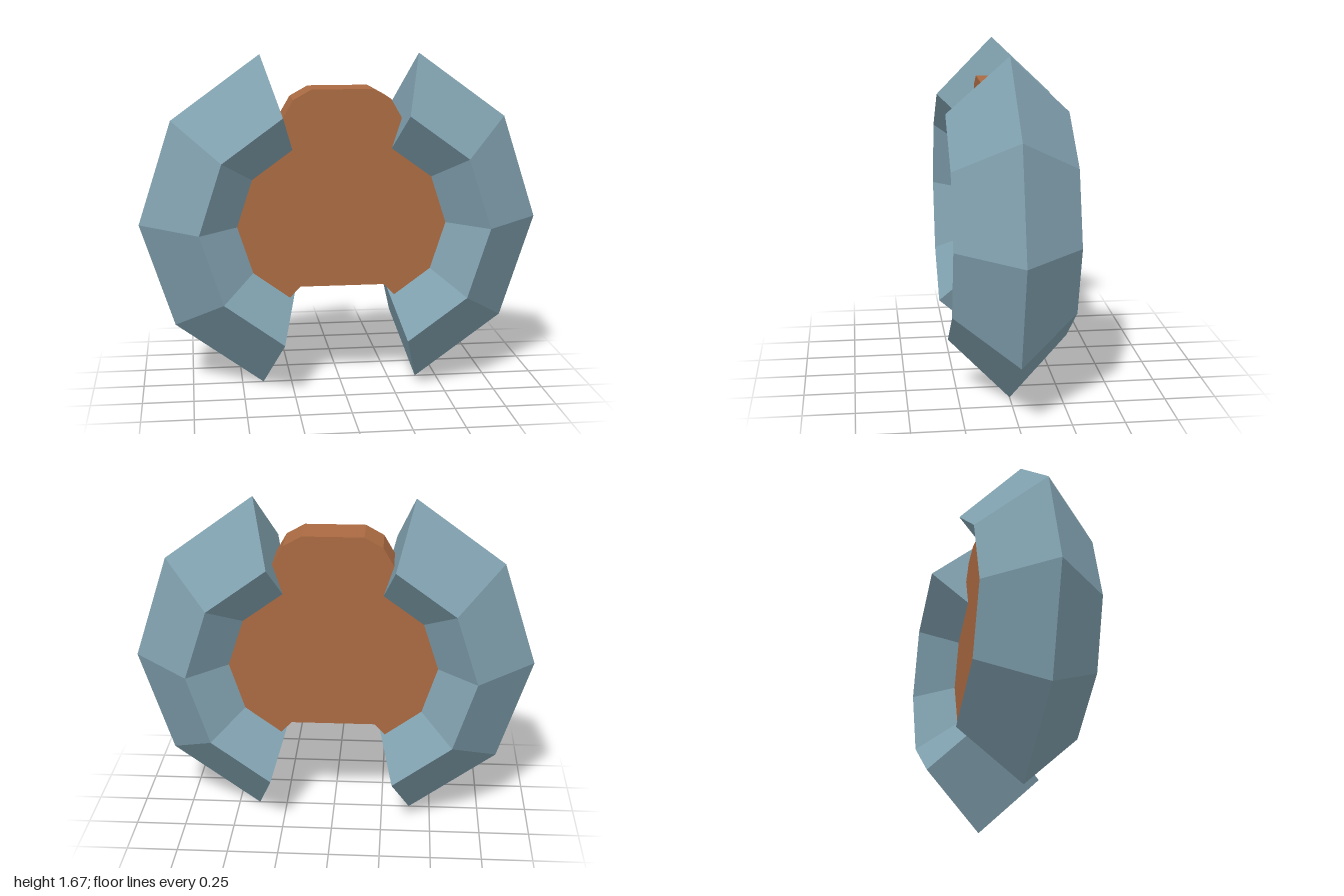
import * as THREE from 'three';
import { mergeGeometries } from 'three/addons/utils/BufferGeometryUtils.js';

const CENTRE_Y = 0.835; // height of the ring axis
const RING = 0.585;     // radius to the middle of the ring section
const TUBE = 0.293;     // half diagonal of the diamond section
const OFFSET = 0.122;   // each half ring is shifted outwards
const HALF_ARC = THREE.MathUtils.degToRad(72);

// One half ring: diamond section swept in four facets, closed at both ends
function halfRingGeometry() {
  const sweep = new THREE.TorusGeometry(RING, TUBE, 4, 4, HALF_ARC * 2).rotateZ(-HALF_ARC);
  const caps = [-1, 1].map((end) =>
    new THREE.CircleGeometry(TUBE, 4)
      .rotateX(-end * Math.PI / 2)
      .translate(RING, 0, 0)
      .rotateZ(end * HALF_ARC));
  return mergeGeometries([sweep, ...caps]);
}

// Flat plate whose sides are buried in the two half rings
function plateGeometry() {
  const half = [
    [0.21, 0.525], [0.265, 0.467], [0.36, 0.4], [0.55, 0.5], [0.66, 0.835],
    [0.55, 1.17], [0.33, 1.3], [0.295, 1.36], [0.24, 1.455], [0.15, 1.505],
  ];
  const mirrored = half.map(([x, y]) => [-x, y]).reverse();
  const outline = new THREE.Shape([...half, ...mirrored].map(([x, y]) => new THREE.Vector2(x, y)));
  return new THREE.ExtrudeGeometry(outline, { depth: 0.21, bevelEnabled: false }).translate(0, 0, -0.105);
}

export function createModel() {
  const group = new THREE.Group();
  const blue = new THREE.MeshStandardMaterial({ color: 0x80a0ae, flatShading: true });
  const brown = new THREE.MeshStandardMaterial({ color: 0xaa6a42, flatShading: true });

  const geometry = halfRingGeometry();
  for (const side of [1, -1]) {
    const ring = new THREE.Mesh(geometry, blue);
    ring.name = side > 0 ? 'leftHalfRing' : 'rightHalfRing';
    ring.position.set(side * OFFSET, CENTRE_Y, 0);
    if (side < 0) ring.rotation.y = Math.PI;
    group.add(ring);
  }

  const plate = new THREE.Mesh(plateGeometry(), brown);
  plate.name = 'centrePlate';
  group.add(plate);
  return group;
}
